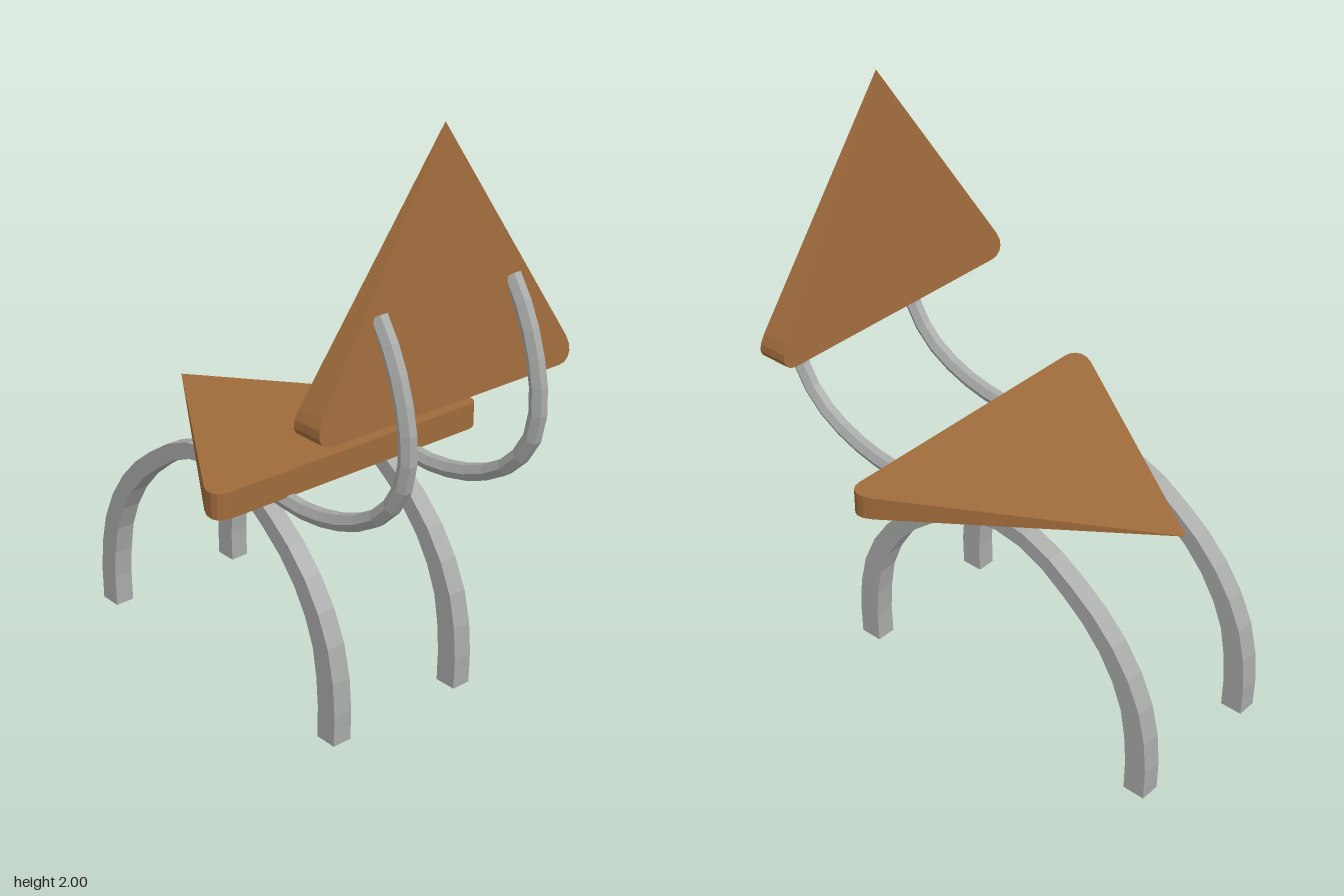
import * as THREE from 'three';

const wood = new THREE.MeshStandardMaterial({ color: 0xa06c3c });
wood.name = 'wood';
const metal = new THREE.MeshStandardMaterial({ color: 0xa8aaa8 });
metal.name = 'grey metal';

// Triangular board with two rounded corners, thinning to nothing at its apex
function wedge(halfWidth, length, thickness) {
  const s = new THREE.Shape();
  const inner = halfWidth - 0.05;
  s.moveTo(-inner, 0);
  s.lineTo(inner, 0);
  s.bezierCurveTo(halfWidth - 0.01, 0, halfWidth + 0.015, 0.035, halfWidth - 0.02, 0.09);
  s.lineTo(0, length);
  s.lineTo(-halfWidth + 0.02, 0.09);
  s.bezierCurveTo(-halfWidth - 0.015, 0.035, -halfWidth + 0.01, 0, -inner, 0);
  const g = new THREE.ExtrudeGeometry(s, { depth: 1, bevelEnabled: false, curveSegments: 5 });
  const p = g.attributes.position;
  for (let i = 0; i < p.count; i++) {
    const taper = Math.max(1 - p.getY(i) / length, 0.004);
    p.setZ(i, (p.getZ(i) - 0.5) * thickness * taper);
  }
  g.computeVertexNormals();
  return g;
}

// Faceted, capped bar: a section swept along a curve in the z-y plane
function bar(points, segments, section, scaleAt) {
  const curve = new THREE.CatmullRomCurve3(points.map(([z, y]) => new THREE.Vector3(0, y, z)));
  const n = section.length;
  const pos = [];
  const idx = [];
  for (let i = 0; i <= segments; i++) {
    const c = curve.getPointAt(i / segments);
    const t = curve.getTangentAt(i / segments);
    if (c.y < 0.001) t.set(0, Math.sign(t.y), 0);
    const [su, sv] = scaleAt(c.y);
    for (const [u, v] of section) pos.push(u * su, c.y + v * sv * t.z, c.z - v * sv * t.y);
  }
  for (let i = 0; i < segments; i++) {
    for (let j = 0; j < n; j++) {
      const a = i * n + j;
      const b = i * n + (j + 1) % n;
      idx.push(a, b, b + n, a, b + n, a + n);
    }
  }
  const last = segments * n;
  for (let j = 1; j < n - 1; j++) {
    idx.push(0, j + 1, j, last, last + j, last + j + 1);
  }
  let g = new THREE.BufferGeometry();
  g.setAttribute('position', new THREE.Float32BufferAttribute(pos, 3));
  g.setIndex(idx);
  g = g.toNonIndexed();
  g.computeVertexNormals();
  return g;
}

export function createModel() {
  const group = new THREE.Group();
  group.name = 'chair';
  const add = (name, geometry, material, x, y, z) => {
    const m = new THREE.Mesh(geometry, material);
    m.name = name;
    m.position.set(x, y, z);
    group.add(m);
    return m;
  };

  // Backrest stands upright, seat lies with its point away from the backrest
  add('backrest', wedge(0.515, 0.845, 0.115), wood, 0, 1.155, 0.598);
  const seatGeometry = wedge(0.555, 0.915, 0.09).rotateX(-Math.PI / 2);
  add('seat', seatGeometry, wood, 0, 0.824, 0.236);

  // Arched legs, slimmer towards the crown
  const half = [[0.44, 0], [0.44, 0.17], [0.4, 0.36], [0.29, 0.54], [0.14, 0.67], [0, 0.752]];
  const arch = [...half, [-0.15, 0.782], ...half.map(([z, y]) => [-0.3 - z, y]).reverse()];
  const square = [[-0.035, -0.04], [0.035, -0.04], [0.035, 0.04], [-0.035, 0.04]];
  const legGeometry = bar(arch, 20, square, (y) => {
    const k = Math.max(0, y - 0.2) / 0.58;
    return [1 - 0.14 * k, 1 - 0.3 * k];
  });

  // Curved rods joining the seat to the backrest
  const rod = [[0.125, 0.77], [0.3, 0.755], [0.48, 0.785], [0.64, 0.865], [0.735, 0.985],
    [0.757, 1.12], [0.725, 1.29], [0.67, 1.42], [0.625, 1.49]];
  const hexagon = [];
  for (let i = 0; i < 6; i++) {
    const a = i * Math.PI / 3;
    hexagon.push([0.028 * Math.cos(a), 0.03 * Math.sin(a)]);
  }
  const rodGeometry = bar(rod, 14, hexagon, () => [1, 1]);

  for (const [side, label] of [[1, 'left'], [-1, 'right']]) {
    add(label + 'LegArch', legGeometry, metal, side * 0.263, 0, 0);
    add(label + 'BackSupport', rodGeometry, metal, side * 0.268, 0, 0);
  }
  return group;
}
